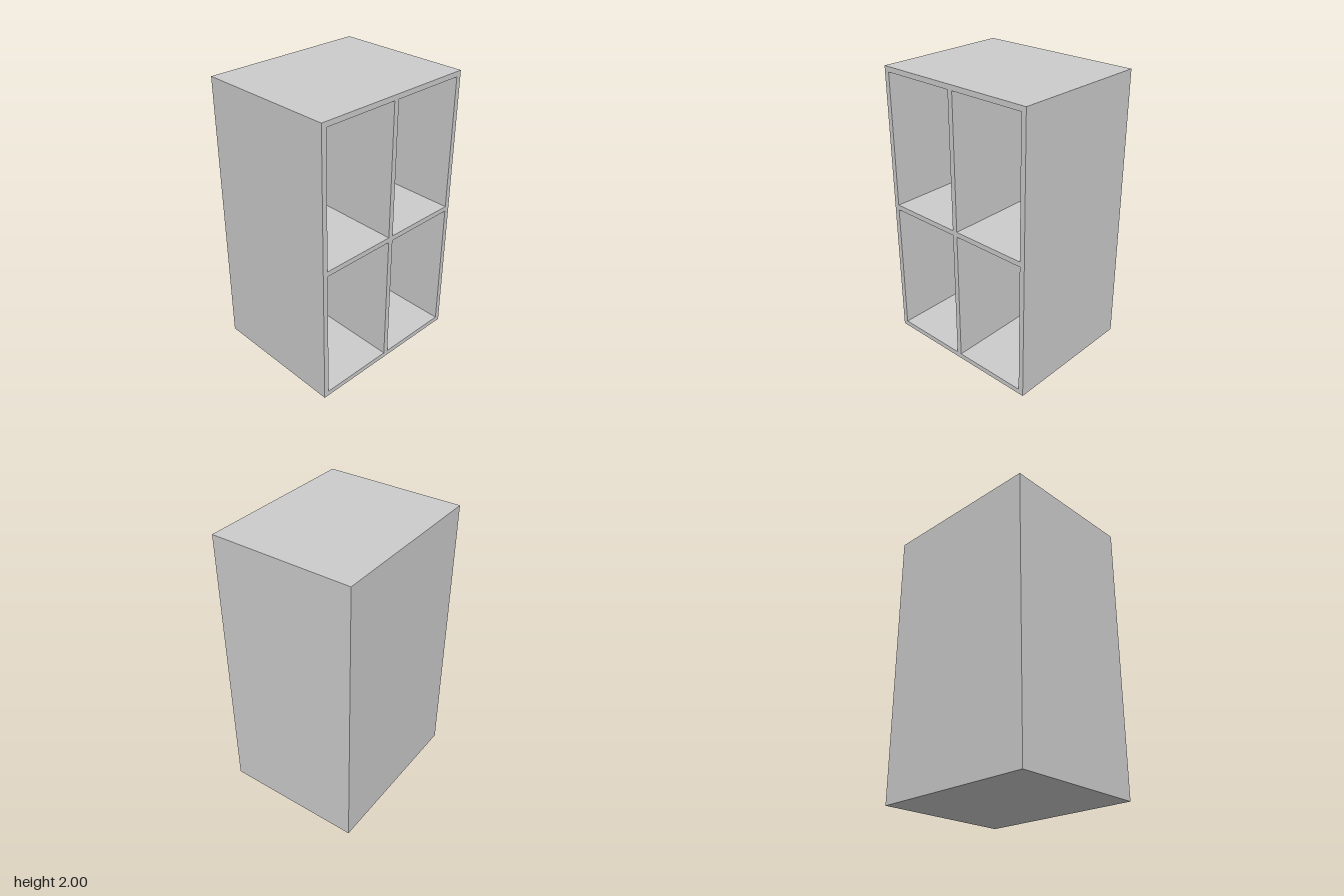
import * as THREE from 'three';

const W = 1.2, H = 2, D = 1; // overall size
const T = 0.036;             // board thickness
const COLS = 2, ROWS = 2;

// Counter-clockwise rectangle from its lower left corner
function rectangle(path, x, y, w, h) {
  path.moveTo(x, y);
  path.lineTo(x + w, y);
  path.lineTo(x + w, y + h);
  path.lineTo(x, y + h);
  path.closePath();
  return path;
}

export function createModel() {
  const group = new THREE.Group();
  group.name = 'cubbyShelf';
  const material = new THREE.MeshStandardMaterial({ color: 0xcccccc, flatShading: true });

  // Carcass: outer boards, divider and shelf as one frame with four openings
  const outline = rectangle(new THREE.Shape(), -W / 2, 0, W, H);
  const openW = (W - T * (COLS + 1)) / COLS;
  const openH = (H - T * (ROWS + 1)) / ROWS;
  for (let c = 0; c < COLS; c++) {
    for (let r = 0; r < ROWS; r++) {
      const x = -W / 2 + T + c * (openW + T);
      const y = T + r * (openH + T);
      outline.holes.push(rectangle(new THREE.Path(), x, y, openW, openH));
    }
  }
  const frame = new THREE.Mesh(
    new THREE.ExtrudeGeometry(outline, { depth: D - T, bevelEnabled: false }),
    material
  );
  frame.name = 'shelfFrame';
  frame.position.z = -D / 2 + T;
  group.add(frame);

  // Back board closing the compartments
  const back = new THREE.Mesh(new THREE.BoxGeometry(W, H, T), material);
  back.name = 'backPanel';
  back.position.set(0, H / 2, -D / 2 + T / 2);
  group.add(back);

  return group;
}
